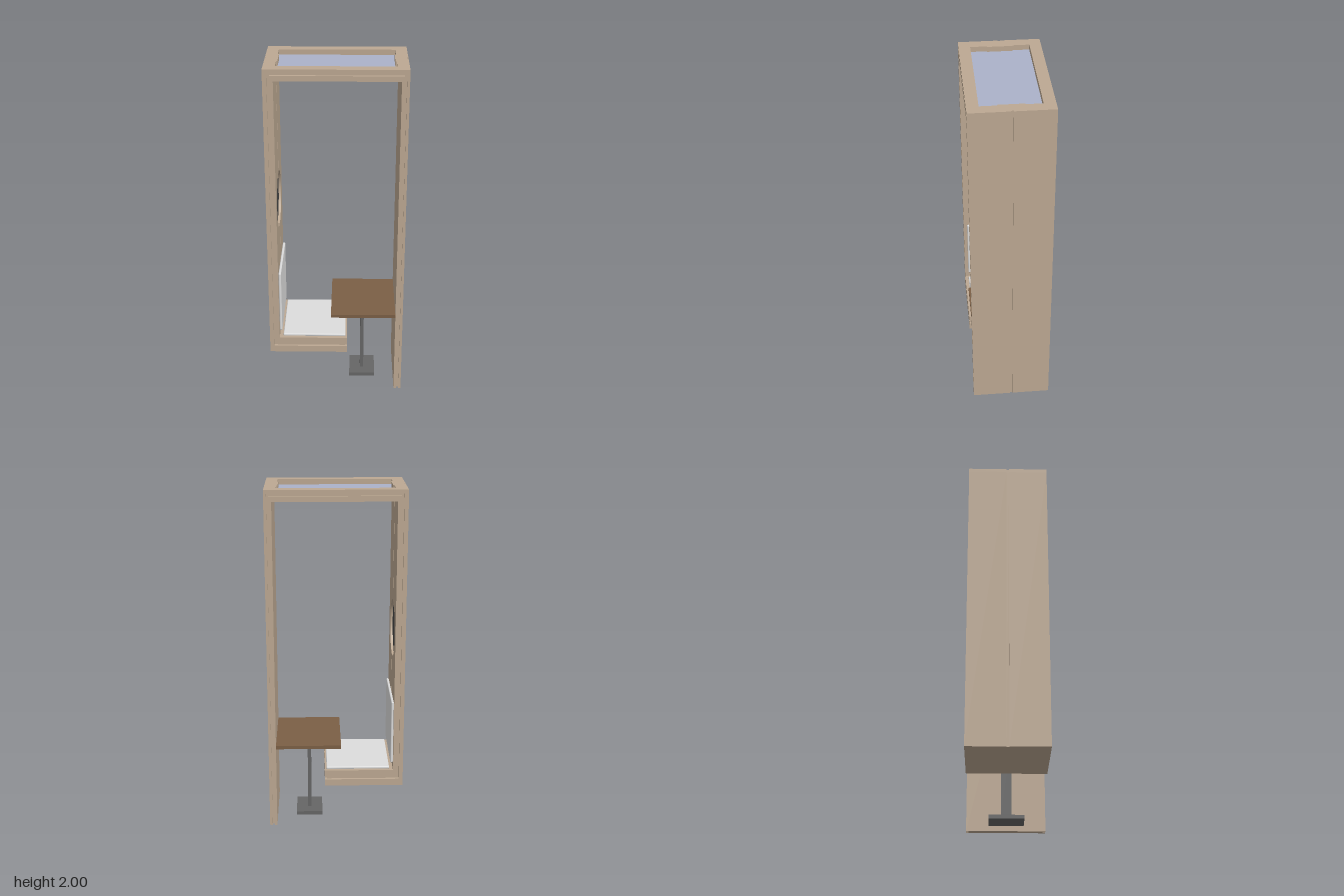
import * as THREE from 'three';
import { RoundedBoxGeometry } from 'three/addons/geometries/RoundedBoxGeometry.js';

const flat = (name, color) => Object.assign(new THREE.MeshStandardMaterial({ color }), { name });

export function createModel() {
  const model = new THREE.Group();
  model.name = 'boothWithTable';
  const wood = flat('paleWood', 0xbca892);
  const brown = flat('tableWood', 0x7b5f45);
  const metal = flat('greyMetal', 0x666666);
  const dark = flat('darkGlass', 0x474747);
  const fabric = flat('whiteFabric', 0xdcdcdc);
  const glass = flat('skylightGlass', 0xabb2c9);

  const add = (name, geometry, material) => {
    const mesh = new THREE.Mesh(geometry, material);
    mesh.name = name;
    model.add(mesh);
    return mesh;
  };
  // Box given by its limits on each axis
  const box = (name, mat, x0, x1, y0, y1, z0, z1) => {
    const m = add(name, new THREE.BoxGeometry(x1 - x0, y1 - y0, z1 - z0), mat);
    m.position.set((x0 + x1) / 2, (y0 + y1) / 2, (z0 + z1) / 2);
    return m;
  };
  const pts = (list) => list.map(([x, y]) => new THREE.Vector2(x, y));

  const Z = 0.23, ZC = 0.215, G = 0.007; // half depth, recessed core, half groove

  // Outer shell walls, each split by a shallow vertical groove
  const outerWall = (name, s, xIn, y0) => {
    const span = (a, b) => [Math.min(s * a, s * b), Math.max(s * a, s * b)];
    box(name, wood, ...span(xIn, 0.393), y0, 1.978, G, Z);
    box(name, wood, ...span(xIn, 0.393), y0, 1.978, -Z, -G);
    box(name + 'Groove', wood, ...span(xIn, 0.386), y0, 1.978, -G, G);
  };
  outerWall('leftOuterWall', 1, 0.378, 0);
  outerWall('rightOuterWall', -1, 0.37, 0.255);

  // Recessed core layers
  box('leftWallCore', wood, 0.365, 0.378, 0, 1.978, -ZC, ZC);
  box('rightWallCore', wood, -0.37, -0.355, 0.295, 1.978, -ZC, ZC);

  // Inner wall on the table side
  box('leftInnerWall', wood, 0.35, 0.365, 0, 1.965, -Z, Z);

  // Inner wall on the seat side: two halves around a round recess
  const R = 0.165, RY = 1.158, a = Math.acos(G / R);
  for (const s of [1, -1]) {
    const shape = new THREE.Shape();
    shape.moveTo(s * G, 0.308);
    shape.lineTo(s * Z, 0.308);
    shape.lineTo(s * Z, 1.965);
    shape.lineTo(s * G, 1.965);
    if (s > 0) shape.absarc(0, RY, R, a, -a, true);
    else shape.absarc(0, RY, R, Math.PI - a, Math.PI + a, false);
    shape.closePath();
    const geo = new THREE.ExtrudeGeometry(shape, { depth: 0.02, bevelEnabled: false, curveSegments: 32 });
    geo.rotateY(-Math.PI / 2);
    add('rightInnerWall', geo, wood).position.x = -0.335;
  }
  const disc = add('roundPanel', new THREE.CylinderGeometry(R, R, 0.006, 64), dark);
  disc.rotation.z = -Math.PI / 2;
  disc.position.set(-0.352, RY, 0);

  // Roof layers with a skylight opening that narrows at the middle of each end
  const opening = [[-0.327, -0.165], [0.327, -0.165], [0.327, -0.072], [0.32, -0.072], [0.32, 0.072], [0.327, 0.072],
    [0.327, 0.165], [-0.327, 0.165], [-0.327, 0.072], [-0.32, 0.072], [-0.32, -0.072], [-0.327, -0.072]];
  const roof = (name, outline, y0, y1) => {
    const shape = new THREE.Shape(pts(outline));
    shape.holes.push(new THREE.Path(pts(opening)));
    const geo = new THREE.ExtrudeGeometry(shape, { depth: y1 - y0, bevelEnabled: false });
    geo.rotateX(-Math.PI / 2);
    add(name, geo, wood).position.y = y0;
  };
  const rect = (x0, x1, z) => [[x0, -z], [x1, -z], [x1, z], [x0, z]];
  roof('outerRoof', [[-0.393, -Z], [0.393, -Z], [0.393, -G], [0.386, -G], [0.386, G], [0.393, G],
    [0.393, Z], [-0.393, Z], [-0.393, G], [-0.386, G], [-0.386, -G], [-0.393, -G]], 1.978, 2);
  roof('roofCore', rect(-0.355, 0.365, ZC), 1.965, 1.978);
  roof('innerRoof', rect(-0.335, 0.35, Z), 1.935, 1.965);

  // Skylight with a slightly deeper middle pane
  box('skylight', glass, -0.327, 0.327, 1.958, 1.97, -0.165, 0.165);
  box('skylightMiddle', glass, -0.32, 0.32, 1.952, 1.958, -0.072, 0.072);

  // Layered bench
  box('benchBase', wood, -0.37, 0.065, 0.255, 0.295, -Z, Z);
  box('benchCore', wood, -0.355, 0.053, 0.295, 0.308, -ZC, ZC);
  box('benchTop', wood, -0.335, 0.065, 0.308, 0.352, -Z, Z);

  // Cushions
  const cushion = (name, w, h, d, x, y) =>
    add(name, new RoundedBoxGeometry(w, h, d, 3, 0.006), fabric).position.set(x, y, 0);
  cushion('seatCushion', 0.37, 0.016, 0.42, -0.129, 0.358);
  cushion('backCushion', 0.015, 0.38, 0.42, -0.3275, 0.58);

  // Table on a single post
  box('tableTop', brown, -0.03, 0.35, 0.488, 0.508, -0.225, 0.225);
  box('tableMount', metal, 0.115, 0.2, 0.48, 0.488, -0.1, 0.1);
  box('tablePost', metal, 0.146, 0.167, 0.022, 0.48, -0.03, 0.03);
  box('tableFoot', metal, 0.08, 0.235, 0, 0.022, -0.1, 0.1);

  return model;
}
